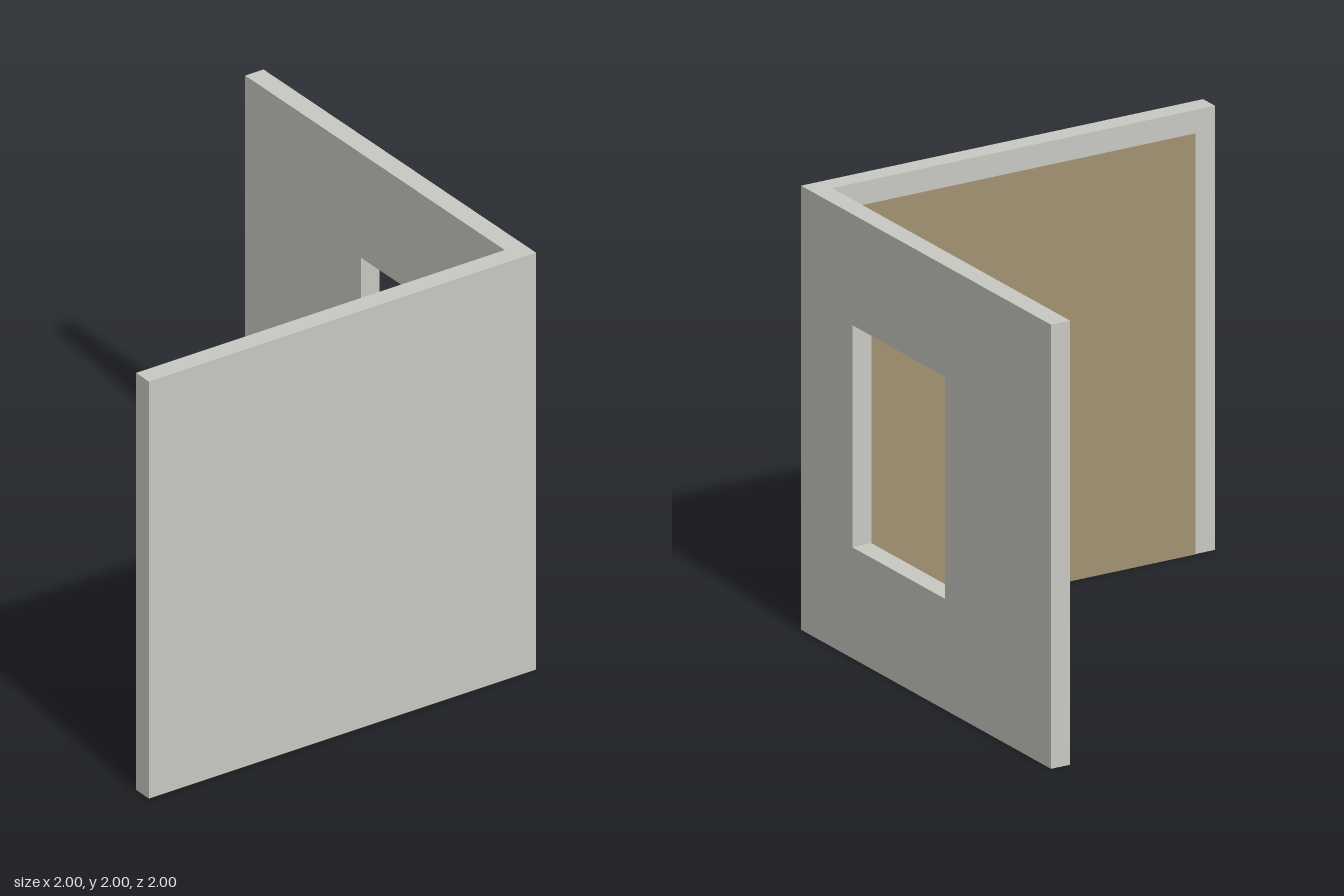
import * as THREE from 'three';

export function createModel() {
  const group = new THREE.Group();
  const plaster = new THREE.MeshStandardMaterial({ color: 0xc8c8c3 });
  plaster.name = 'paleGreyPlaster';
  const brown = new THREE.MeshStandardMaterial({ color: 0xa29271 });
  brown.name = 'brownPanel';

  const T = 0.095; // wall thickness
  const inner = 1 - T;

  function add(name, geometry, material, x = 0, y = 0, z = 0) {
    const mesh = new THREE.Mesh(geometry, material);
    mesh.name = name;
    mesh.position.set(x, y, z);
    group.add(mesh);
  }

  function rectangle(path, x0, y0, x1, y1) {
    path.moveTo(x0, y0);
    path.lineTo(x1, y0);
    path.lineTo(x1, y1);
    path.lineTo(x0, y1);
    path.closePath();
    return path;
  }

  // Back wall with a window opening
  const outline = rectangle(new THREE.Shape(), -1, 0, inner, 2);
  outline.holes.push(rectangle(new THREE.Path(), -0.15, 0.5, 0.59, 1.5));
  const wall = new THREE.ExtrudeGeometry(outline, { depth: T, bevelEnabled: false });
  add('backWall', wall, plaster, 0, 0, -1);

  // Solid side wall, running the full depth
  add('sideWall', new THREE.BoxGeometry(T, 2, 2), plaster, 1 - T / 2, 1, 0);

  // Thin brown panel on the inner face of the side wall, down to the floor
  const z0 = -0.81, z1 = 0.9, top = 1.895, thin = 0.004;
  add('innerPanel', new THREE.BoxGeometry(thin, top, z1 - z0), brown,
    inner - thin / 2, top / 2, (z0 + z1) / 2);

  return group;
}
